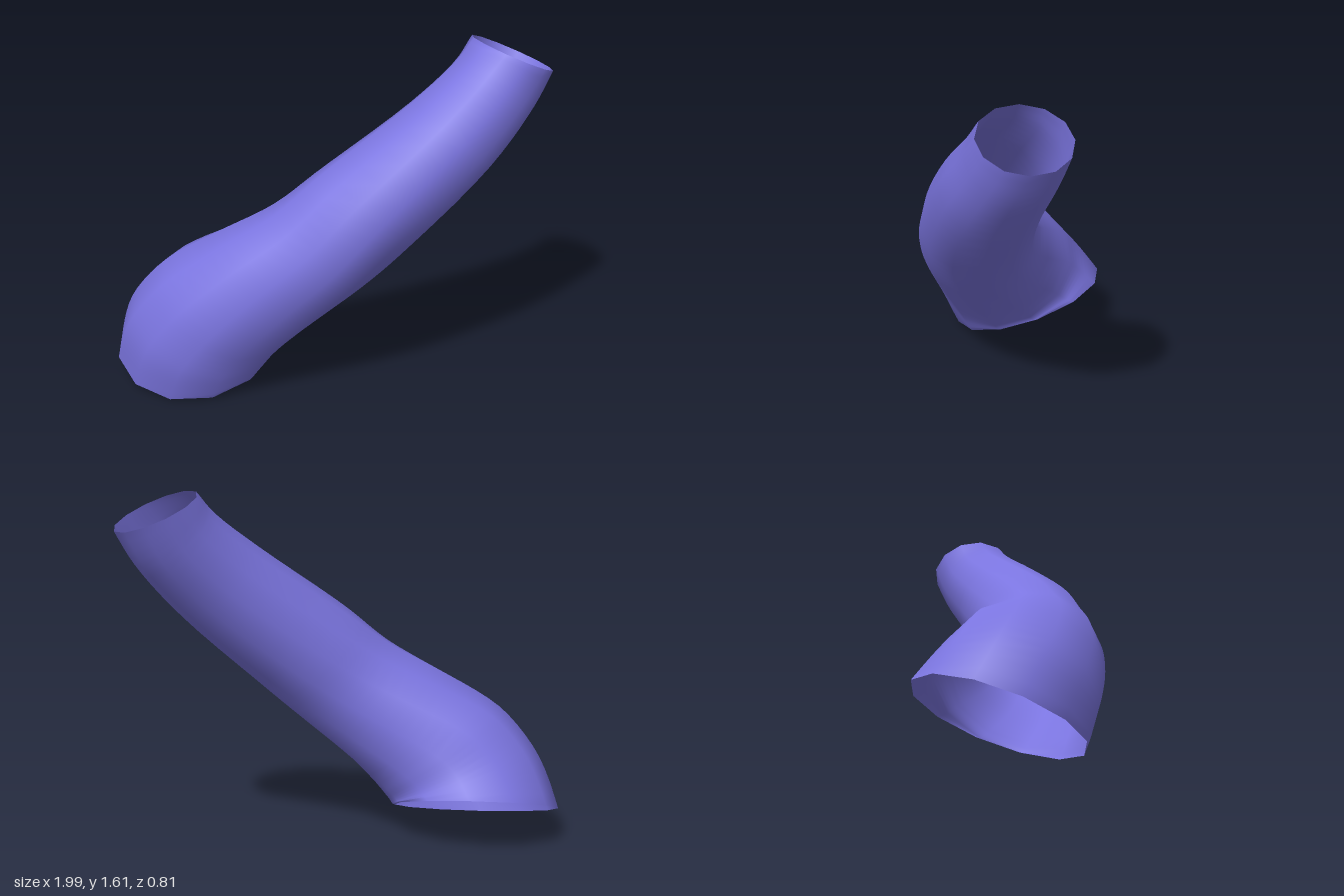
import * as THREE from 'three';

const SIDES = 12;
const RINGS = 36;

// Cross-sections from wide lower opening to narrow upper one: centre, axis, radius
const SECTIONS = [
  { c: [-0.63, 0.13, -0.055], n: [-0.07, 0.94, 0.34], r: 0.375 },
  { c: [-0.58, 0.26, 0.01], n: [0.29, 0.88, 0.3], r: 0.355 },
  { c: [-0.48, 0.385, 0.055], n: [0.53, 0.75, 0.22], r: 0.335 },
  { c: [-0.265, 0.555, 0.105], n: [0.62, 0.76, 0.1], r: 0.3 },
  { c: [-0.04, 0.715, 0.125], n: [0.64, 0.77, 0.0], r: 0.27 },
  { c: [0.155, 0.88, 0.105], n: [0.66, 0.74, -0.12], r: 0.26 },
  { c: [0.54, 1.2, 0.0], n: [0.64, 0.74, -0.24], r: 0.228 },
  { c: [0.735, 1.4, -0.1], n: [0.58, 0.8, -0.28], r: 0.203 },
  { c: [0.817, 1.53, -0.155], n: [0.42, 1, -0.17], r: 0.195 },
];

const curve = (pick) =>
  new THREE.CatmullRomCurve3(SECTIONS.map((s) => new THREE.Vector3(...pick(s))), false, 'centripetal');

function sleeveGeometry() {
  const centres = curve((s) => s.c);
  const axes = curve((s) => s.n);
  const radii = curve((s, i) => [s.r, s.c[0], 0]);
  const positions = [];
  const indices = [];

  for (let i = 0; i <= RINGS; i++) {
    const t = i / RINGS;
    const c = centres.getPoint(t);
    const n = axes.getPoint(t).normalize();
    const r = radii.getPoint(t).x * 1.015;
    const u = new THREE.Vector3(1, 0, 0).addScaledVector(n, -n.x).normalize();
    const v = new THREE.Vector3().crossVectors(n, u);
    for (let j = 0; j < SIDES; j++) {
      const a = ((j + 0.5) / SIDES) * Math.PI * 2;
      const p = c.clone().addScaledVector(u, r * Math.cos(a)).addScaledVector(v, r * Math.sin(a));
      positions.push(p.x, p.y, p.z);
      if (i < RINGS) {
        const k = (j + 1) % SIDES;
        const lo = i * SIDES;
        const hi = lo + SIDES;
        indices.push(lo + j, lo + k, hi + k, lo + j, hi + k, hi + j);
      }
    }
  }

  const geometry = new THREE.BufferGeometry();
  geometry.setAttribute('position', new THREE.Float32BufferAttribute(positions, 3));
  geometry.setIndex(indices);
  geometry.computeVertexNormals();
  return geometry;
}

export function createModel() {
  const group = new THREE.Group();
  group.name = 'curvedSleeve';

  // Bent tapering tube, open at both ends
  const sleeve = new THREE.Mesh(
    sleeveGeometry(),
    new THREE.MeshStandardMaterial({ color: 0x7b75e0, side: THREE.DoubleSide })
  );
  sleeve.name = 'sleeve';
  group.add(sleeve);
  return group;
}
